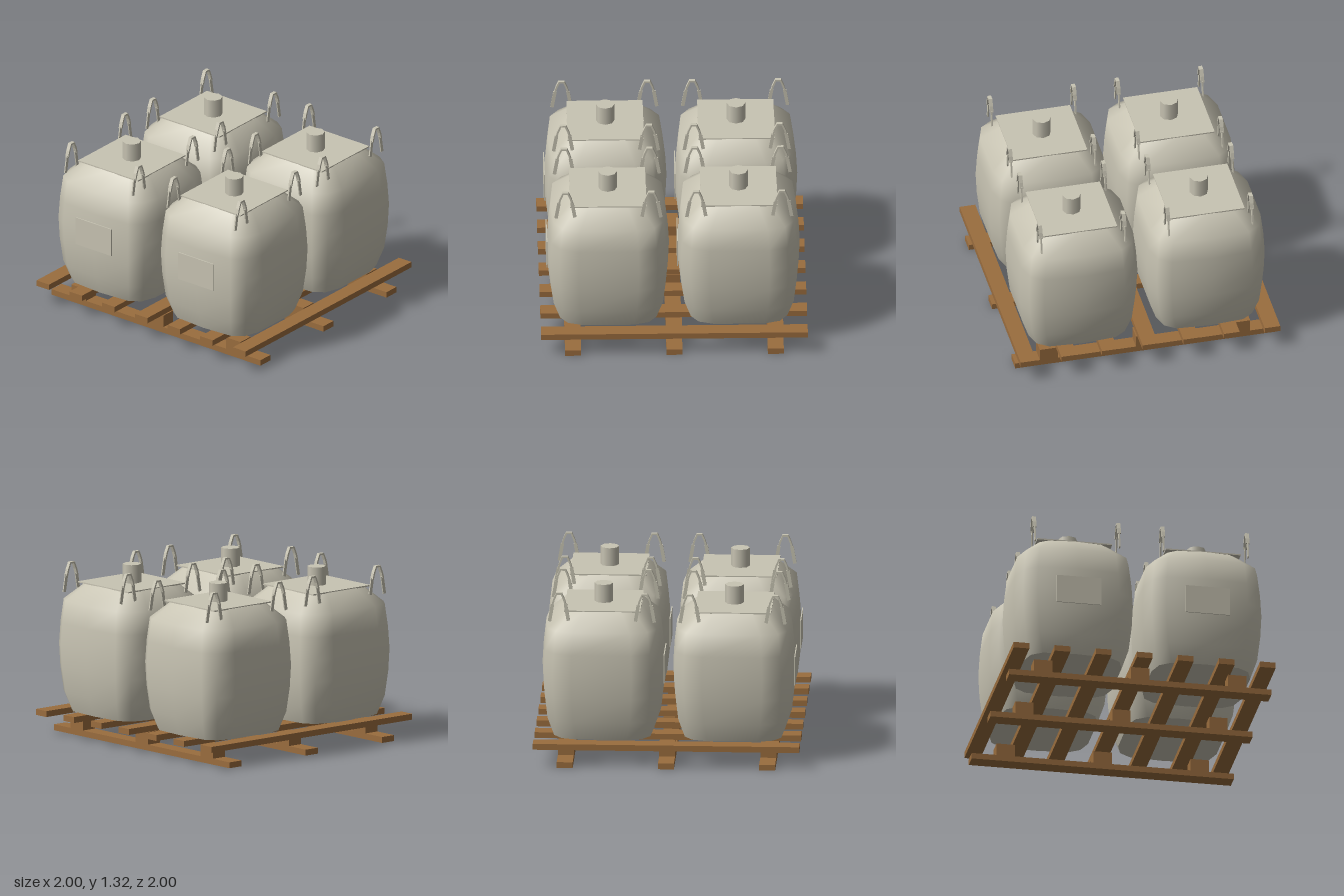
import * as THREE from 'three';

const bagCloth = new THREE.MeshStandardMaterial({ color: 0xc8c4b3 });
bagCloth.name = 'bagCloth';
const wood = new THREE.MeshStandardMaterial({ color: 0x9a6d3e });
wood.name = 'wood';

function add(parent, name, geometry, material, x = 0, y = 0, z = 0) {
  const mesh = new THREE.Mesh(geometry, material);
  mesh.name = name;
  mesh.position.set(x, y, z);
  parent.add(mesh);
  return mesh;
}

// Bulging sack lofted through rounded-square rings, with flat end caps
function sackGeometry() {
  const sides = 14, power = 0.47;
  const rings = [ // height, half width
    [0.185, 0.38], [0.33, 0.43], [0.52, 0.452], [0.69, 0.46],
    [0.86, 0.45], [1.03, 0.43], [1.158, 0.29],
  ];
  const soft = v => Math.sign(v) * Math.pow(Math.abs(v), power);
  const positions = [], index = [];
  const ring = ([y, r]) => {
    const start = positions.length / 3;
    for (let i = 0; i < sides; i++) {
      const a = (i / sides) * Math.PI * 2;
      const s = i === sides / 2 ? 0 : Math.sin(a);
      positions.push(r * soft(Math.cos(a)), y, r * soft(s));
    }
    return start;
  };
  rings.forEach((level, j) => {
    const top = ring(level);
    if (j === 0) return;
    for (let i = 0; i < sides; i++) {
      const n = (i + 1) % sides, low = top - sides;
      index.push(low + i, top + i, low + n, low + n, top + i, top + n);
    }
  });
  // Caps use their own vertices so their rims stay sharp
  for (const [level, up] of [[rings[0], false], [rings[rings.length - 1], true]]) {
    const start = ring(level);
    const centre = positions.length / 3;
    positions.push(0, level[0], 0);
    for (let i = 0; i < sides; i++) {
      const a = start + i, b = start + (i + 1) % sides;
      index.push(centre, up ? b : a, up ? a : b);
    }
  }
  const geometry = new THREE.BufferGeometry();
  geometry.setAttribute('position', new THREE.Float32BufferAttribute(positions, 3));
  geometry.setIndex(index);
  geometry.computeVertexNormals();
  return geometry;
}

// Upper arch of a lifting loop, a bent strap wide in z
function archGeometry() {
  const outer = [[-0.058, 1.215], [-0.045, 1.262], [-0.022, 1.315], [0.022, 1.315], [0.045, 1.262], [0.058, 1.215]];
  const inner = [[0.044, 1.215], [0.032, 1.258], [0.014, 1.302], [-0.014, 1.302], [-0.032, 1.258], [-0.044, 1.215]];
  const shape = new THREE.Shape([...outer, ...inner].map(([x, y]) => new THREE.Vector2(x, y)));
  return new THREE.ExtrudeGeometry(shape, { depth: 0.028, bevelEnabled: false }).translate(0, 0, -0.014);
}

function makeLiftingLoop(arch, strap) {
  const loop = new THREE.Group();
  loop.name = 'liftingLoop';
  add(loop, 'loopArch', arch, bagCloth);
  for (const s of [-1, 1]) {
    const leg = add(loop, 'loopStrap', strap, bagCloth, s * 0.06, 1.158, 0);
    leg.rotation.z = s * 0.17;
  }
  return loop;
}

export function createModel() {
  const model = new THREE.Group();
  model.name = 'bulkBagsOnPallet';

  // Pallet: runners, blocks and deck boards
  const pallet = new THREE.Group();
  pallet.name = 'pallet';
  model.add(pallet);
  const runner = new THREE.BoxGeometry(0.12, 0.045, 2);
  const block = new THREE.BoxGeometry(0.12, 0.095, 0.14);
  const board = new THREE.BoxGeometry(2, 0.045, 0.12);
  for (const x of [-0.76, 0, 0.76]) {
    add(pallet, 'runner', runner, wood, x, 0.0225, 0);
    for (const z of [-0.74, 0, 0.74]) add(pallet, 'block', block, wood, x, 0.0925, z);
  }
  for (let i = -3; i <= 3; i++) add(pallet, 'deckBoard', board, wood, 0, 0.1625, i * 0.3133);

  // Four bulk bags, each with lid, spout, label and lifting loops
  const sack = sackGeometry();
  const lid = new THREE.BoxGeometry(0.572, 0.01, 0.572);
  const spout = new THREE.CylinderGeometry(0.07, 0.07, 0.145, 8);
  const label = new THREE.BoxGeometry(0.008, 0.22, 0.34);
  const arch = archGeometry();
  const strap = new THREE.BoxGeometry(0.026, 0.135, 0.01);
  for (const x of [-0.492, 0.489]) {
    for (const z of [-0.492, 0.489]) {
      const bag = new THREE.Group();
      bag.name = 'bulkBag';
      bag.position.set(x, 0, z);
      model.add(bag);
      add(bag, 'sack', sack, bagCloth);
      add(bag, 'lid', lid, bagCloth, 0, 1.16, 0);
      add(bag, 'spout', spout, bagCloth, 0, 1.2325, 0);
      add(bag, 'label', label, bagCloth, -0.459, 0.68, 0);
      for (const lx of [-0.322, 0.322]) {
        for (const lz of [-0.322, 0.322]) {
          const loop = makeLiftingLoop(arch, strap);
          loop.position.set(lx, 0, lz);
          bag.add(loop);
        }
      }
    }
  }
  return model;
}
